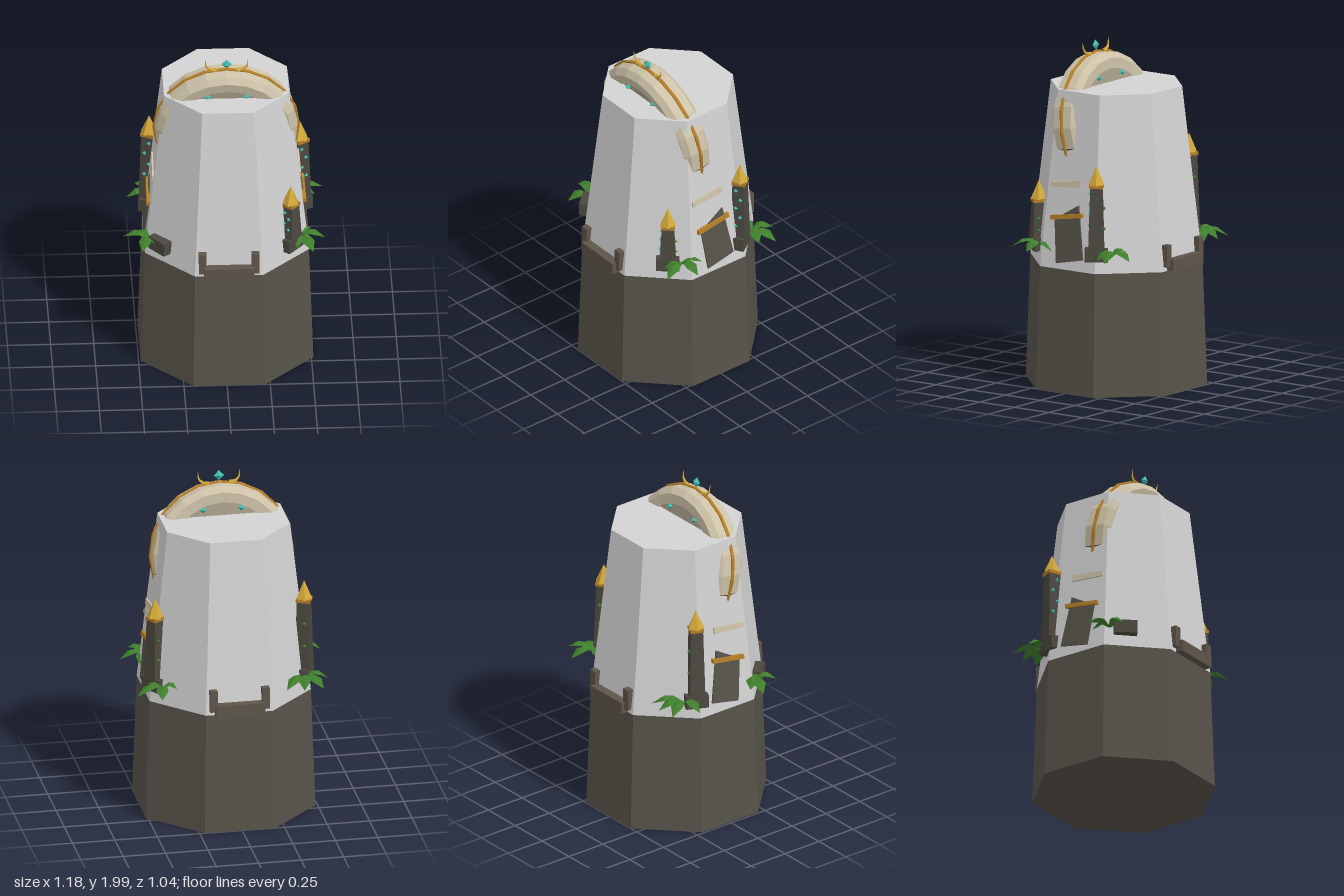
import * as THREE from 'three';

const mat = (name, color, side = THREE.FrontSide) =>
  new THREE.MeshStandardMaterial({ name, color, flatShading: true, side });

const CX = 0.012; // tower axis
// distance from the axis to a flat of the upper tower at height y
const flatAt = (y) => 0.475 - (0.113 * (y - 0.725)) / 1.03;

export function createModel() {
  const model = new THREE.Group();
  model.name = 'tower';
  const M = {
    concrete: mat('pale concrete', 0xd2d2d2),
    stone: mat('dark stone', 0x57534a),
    pillar: mat('pillar stone', 0x4c4840),
    sill: mat('brown stone', 0x5e554a),
    cream: mat('cream stone', 0xcdc2a8, THREE.DoubleSide),
    tan: mat('tan stone', 0xa79d88),
    gold: mat('bright gold', 0xd4a93a),
    bronze: mat('bronze', 0xb57f28),
    teal: mat('teal crystal', 0x40bfb2),
    leaf: mat('leaf green', 0x3f7f2b, THREE.DoubleSide),
  };
  const add = (parent, name, geo, material, x = 0, y = 0, z = 0) => {
    const m = new THREE.Mesh(geo, material);
    m.name = name;
    m.position.set(x, y, z);
    parent.add(m);
    return m;
  };
  const box = (w, h, d) => new THREE.BoxGeometry(w, h, d);

  // Octagonal tower, sized by the distance from axis to flat
  const octagon = (top, bottom, h) =>
    new THREE.CylinderGeometry(top, bottom, h, 8)
      .rotateY(Math.PI / 8)
      .scale(1 / Math.cos(Math.PI / 8), 1, 1 / Math.cos(Math.PI / 8));
  add(model, 'lowerTower', octagon(0.475, 0.5, 0.725), M.stone, CX, 0.3625, 0);
  add(model, 'upperTower', octagon(0.362, 0.475, 1.03), M.concrete, CX, 1.24, 0);

  // Ledges with end posts, front and back
  for (const s of [1, -1]) {
    const ledge = new THREE.Group();
    ledge.name = s > 0 ? 'frontLedge' : 'backLedge';
    add(ledge, 'ledge', box(0.29, 0.07, 0.06), M.sill, CX, 0.76, s * 0.49);
    for (const x of [-0.153, 0.153]) add(ledge, 'ledgePost', box(0.044, 0.13, 0.036), M.sill, CX + x, 0.815, s * 0.478);
    model.add(ledge);
  }

  // Leaning ring that breaks through the roof and both sides
  const ring = new THREE.Group();
  ring.name = 'ring';
  ring.position.set(CX, 1.51, 0.083);
  ring.rotation.x = 0.147;
  model.add(ring);
  const profile = [[0.315, -0.085], [0.375, -0.092], [0.41, -0.062], [0.415, 0], [0.41, 0.062], [0.375, 0.092], [0.315, 0.085]]
    .map(([r, y]) => new THREE.Vector2(r, y));
  const arc = (from, to, seg) => {
    const d = Math.PI / 180;
    return new THREE.LatheGeometry(profile, seg, from * d, (to - from) * d).rotateX(Math.PI / 2);
  };
  add(ring, 'ringArch', arc(77, 283, 12), M.cream);
  const footMat = M.stone;
  for (const [a, b] of [[60, 77], [283, 300]]) add(ring, 'ringFoot', arc(a, b, 1), footMat);
  add(ring, 'ringPanel', new THREE.CylinderGeometry(0.33, 0.33, 0.15, 20).rotateX(Math.PI / 2), M.tan);
  add(ring, 'ringTrim', new THREE.TorusGeometry(0.416, 0.011, 6, 20).rotateZ(Math.PI / 2), M.bronze);
  const gem = (r, sx = 1, sz = 1) => new THREE.OctahedronGeometry(r).scale(sx, 1, sz);
  for (const x of [-0.112, 0.112])
    for (const z of [-0.08, 0.08]) add(ring, 'panelGem', gem(0.02), M.teal, x, 0.275, z);
  add(ring, 'crownGem', gem(0.031, 1, 0.7), M.teal, 0, 0.455, 0);

  // Curved tapering horns beside the crown gem
  const hornCurve = new THREE.CatmullRomCurve3(
    [[0.06, 0.41], [0.095, 0.417], [0.118, 0.44], [0.123, 0.485]].map(([x, y]) => new THREE.Vector3(x, y, 0)));
  const hornGeo = new THREE.TubeGeometry(hornCurve, 6, 0.014, 5);
  const hp = hornGeo.attributes.position;
  const v = new THREE.Vector3();
  for (let i = 0; i < hp.count; i++) {
    const t = Math.floor(i / 6) / 6;
    const c = hornCurve.getPointAt(t);
    v.fromBufferAttribute(hp, i).sub(c).multiplyScalar(1 - 0.95 * t).add(c);
    hp.setXYZ(i, v.x, v.y, v.z);
  }
  for (const s of [1, -1]) add(ring, 'horn', hornGeo, M.gold).scale.x = s;

  // Crooked doorway pieces lying on the sloping side faces; points are [z, y]
  const sidePlate = (pts, depth) => {
    const shape = new THREE.Shape(pts.map(([z, y]) => new THREE.Vector2(-z, y)));
    const g = new THREE.ExtrudeGeometry(shape, { depth, bevelEnabled: false }).rotateY(Math.PI / 2);
    const p = g.attributes.position;
    for (let i = 0; i < p.count; i++) p.setX(i, p.getX(i) + flatAt(p.getY(i)) - 0.01);
    g.computeVertexNormals();
    return g;
  };
  const doorGeo = sidePlate([[0.08, 0.757], [-0.11, 0.795], [-0.055, 1.107], [0.11, 1.01]], 0.018);
  const stripGeo = sidePlate([[0.135, 1.005], [-0.09, 1.04], [-0.09, 1.065], [0.135, 1.03]], 0.03);
  const lintelGeo = sidePlate([[0.155, 1.192], [-0.06, 1.21], [-0.06, 1.25], [0.155, 1.222]], 0.02);
  for (const s of [1, -1]) {
    const side = new THREE.Group();
    side.name = s > 0 ? 'leftDoorway' : 'rightDoorway';
    side.position.x = CX;
    side.scale.x = s;
    add(side, 'door', doorGeo, M.stone);
    add(side, 'doorStrip', stripGeo, M.bronze);
    add(side, 'lintel', lintelGeo, M.cream);
    model.add(side);
  }

  // Corner pillars; local +z points away from the tower
  const pillar = (name, x, z, ry, bandY, gemSide) => {
    const g = new THREE.Group();
    g.name = name;
    g.position.set(x, 0, z);
    g.rotation.y = ry;
    model.add(g);
    add(g, 'pillarBase', box(0.135, 0.08, 0.085), M.pillar, 0, 0.835, 0);
    if (!bandY) return;
    const h = bandY - 0.87;
    const shaft = new THREE.CylinderGeometry(0.07 / Math.SQRT2, 0.092 / Math.SQRT2, h, 4).rotateY(Math.PI / 4);
    add(g, 'pillarShaft', shaft, M.pillar, 0, 0.87 + h / 2, 0);
    add(g, 'capBand', box(0.08, 0.02, 0.08), M.bronze, 0, bandY + 0.008, 0);
    add(g, 'pillarCap', new THREE.ConeGeometry(0.05, 0.112, 5), M.gold, 0, bandY + 0.072, 0);
    // crystals climb one flank, moss the other
    for (let i = 0; i < 5; i++) {
      const y = bandY - 0.04 - (i * h) / 6;
      add(g, 'shaftGem', gem(0.014, 0.7), M.teal, gemSide * (0.037 + i * 0.0015), y, (i % 2 ? 1 : -1) * 0.014);
      if (i % 2) add(g, 'moss', gem(0.013), M.leaf, -gemSide * 0.042, y - 0.02, 0.012);
    }
  };
  pillar('frontLeftPillar', 0.377, 0.287, 0.88, 1.08, -1);
  pillar('backLeftPillar', 0.452, -0.185, 2.15, 1.23, -1);
  pillar('backRightPillar', -0.422, -0.2, -2.0, 1.285, 1);
  pillar('brokenPillar', -0.37, 0.283, -0.88, 0, 1);

  // Folded leaf: arches up from the root, then droops to its tip
  const leafGeo = (len) => {
    const w = 0.036;
    const rows = [[0, 0.008, 0], [0.35, w * 0.8, 0.035], [0.62, w, 0.03], [1, 0, -0.02]];
    const pos = [], idx = [];
    rows.forEach(([t, hw, y], i) => {
      pos.push(-hw, y - hw * 0.4, t * len, 0, y, t * len, hw, y - hw * 0.4, t * len);
      if (i) for (const k of [0, 1]) {
        const a = (i - 1) * 3 + k, b = a + 3;
        idx.push(a, b, a + 1, a + 1, b, b + 1);
      }
    });
    const g = new THREE.BufferGeometry();
    g.setAttribute('position', new THREE.Float32BufferAttribute(pos, 3));
    g.setIndex(idx);
    g.computeVertexNormals();
    return g;
  };
  // Each plant: root [x, z] and its leaf tips [x, z]
  const plants = [
    [[-0.41, -0.28], [[-0.495, -0.43], [-0.28, -0.415], [-0.55, -0.27], [-0.38, -0.44]]],
    [[0.43, -0.285], [[0.455, -0.425], [0.588, -0.345], [0.325, -0.305], [0.54, -0.255]]],
    [[0.44, 0.235], [[0.58, 0.225], [0.505, 0.39], [0.48, 0.12], [0.41, 0.34]]],
    [[-0.44, 0.22], [[-0.59, 0.165], [-0.485, 0.345], [-0.37, 0.31], [-0.5, 0.14]]],
  ];
  for (const [[x, z], tips] of plants) {
    const plant = new THREE.Group();
    plant.name = 'plant';
    plant.position.set(x, 0.84, z);
    for (const [tx, tz] of tips)
      add(plant, 'leaf', leafGeo(Math.hypot(tx - x, tz - z)), M.leaf).rotation.y = Math.atan2(tx - x, tz - z);
    model.add(plant);
  }
  return model;
}
